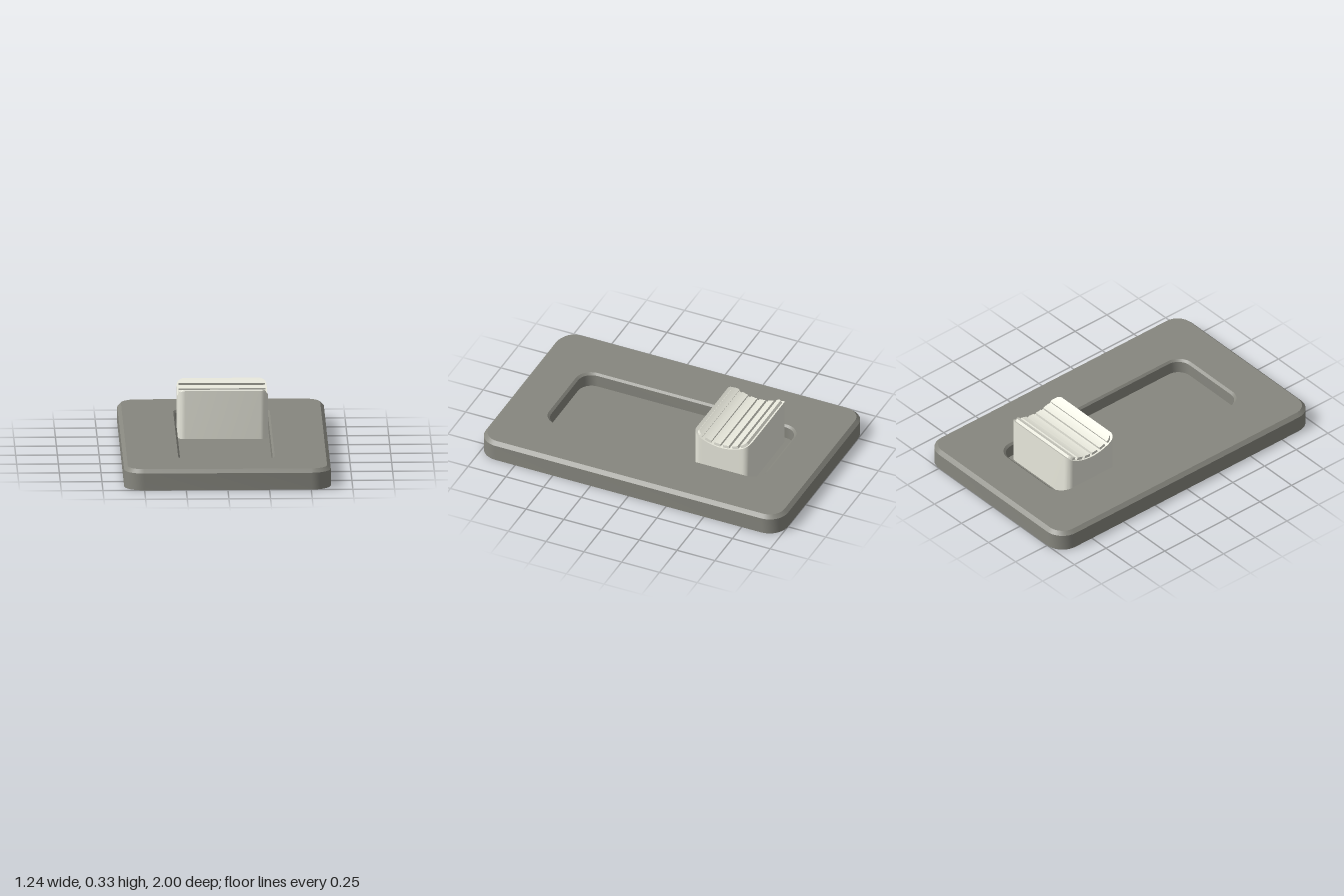
import * as THREE from 'three';
import { toCreasedNormals } from 'three/addons/utils/BufferGeometryUtils.js';

// Skin a list of rings (arrays of Vector3, equal length); both ends are closed with fans.
function loft(rings) {
  const collapse = (ring) => {
    const c = new THREE.Vector3();
    ring.forEach((p) => c.add(p));
    c.divideScalar(ring.length);
    return ring.map(() => c);
  };
  const all = [collapse(rings[0]), ...rings, collapse(rings[rings.length - 1])];
  const pos = [];
  const tri = (a, b, c) => {
    if (a.equals(b) || b.equals(c) || a.equals(c)) return;
    for (const p of [a, b, c]) pos.push(p.x, p.y, p.z);
  };
  for (let k = 0; k + 1 < all.length; k++) {
    const lo = all[k], hi = all[k + 1], n = lo.length;
    for (let i = 0; i < n; i++) {
      const j = (i + 1) % n;
      tri(lo[i], hi[i], hi[j]);
      tri(lo[i], hi[j], lo[j]);
    }
  }
  const g = new THREE.BufferGeometry();
  g.setAttribute('position', new THREE.Float32BufferAttribute(pos, 3));
  return toCreasedNormals(g, 0.5);
}

// Horizontal rounded rectangle at height y
function roundedRing(hx, hz, r, y, steps = 10) {
  const pts = [];
  [[1, 1], [-1, 1], [-1, -1], [1, -1]].forEach(([sx, sz], q) => {
    for (let i = 0; i <= steps; i++) {
      const a = (q + i / steps) * Math.PI / 2;
      pts.push(new THREE.Vector3(sx * (hx - r) + r * Math.cos(a), y, sz * (hz - r) + r * Math.sin(a)));
    }
  });
  return pts;
}

// Half width of a rounded rectangle at distance u from its middle
function halfWidth(u, hx, hz, r) {
  const d = Math.max(0, Math.abs(u) - (hz - r));
  return hx - r + Math.sqrt(Math.max(0, r * r - d * d));
}

// Four-cornered cross-section, mirrored in x
const section = (w, loY, loZ, hiY, hiZ) => [
  new THREE.Vector3(w, loY, loZ), new THREE.Vector3(-w, loY, loZ),
  new THREE.Vector3(-w, hiY, hiZ), new THREE.Vector3(w, hiY, hiZ),
];

export function createModel() {
  const model = new THREE.Group();
  const plateMat = new THREE.MeshStandardMaterial({ color: 0x87877f });
  const knobMat = new THREE.MeshStandardMaterial({ color: 0xe8e8dc });
  const add = (parent, name, geometry, material) => {
    const m = new THREE.Mesh(geometry, material);
    m.name = name;
    parent.add(m);
  };

  // Base plate: chamfered outside edge, chamfered slot with a floor
  const floorY = 0.035;
  add(model, 'basePlate', loft([
    roundedRing(0.62, 1.0, 0.12, 0),
    roundedRing(0.62, 1.0, 0.12, 0.103),
    roundedRing(0.598, 0.978, 0.098, 0.125),
    roundedRing(0.29, 0.725, 0.1, 0.125),
    roundedRing(0.278, 0.71, 0.088, 0.112),
    roundedRing(0.278, 0.71, 0.088, floorY),
  ]), plateMat);

  // Sliding knob with a hollowed top
  const knob = new THREE.Group();
  knob.name = 'sliderKnob';
  model.add(knob);
  const zc = -0.45, hx = 0.27, hz = 0.185, r = 0.045;
  const R = 0.296, arcY = 0.561;

  const us = [];
  for (let i = 0; i <= 8; i++) us.push(-(hz - r) - r * Math.cos(i / 8 * Math.PI / 2));
  for (let i = 1; i < 16; i++) us.push((hz - r) * (i / 8 - 1));
  for (let i = 8; i >= 0; i--) us.push(hz - r + r * Math.cos(i / 8 * Math.PI / 2));
  add(knob, 'knobBody', loft(us.map((u) =>
    section(halfWidth(u, hx, hz, r), floorY, zc + u, arcY - Math.sqrt(R * R - u * u), zc + u))), knobMat);

  // Grip ribs following the hollow; the end ribs take the rounded corners
  const ribHalf = 0.072, inner = R - 0.018, outer = R + 0.008;
  for (const t0 of [-0.53, -0.315, -0.1, 0.1, 0.315, 0.53]) {
    const rings = [];
    for (let i = 0; i <= 10; i++) {
      const t = t0 + ribHalf * (i / 5 - 1);
      const w = halfWidth(R * Math.sin(t), hx - 0.01, hz - 0.015, 0.035);
      rings.push(section(w,
        arcY - outer * Math.cos(t), zc + outer * Math.sin(t),
        arcY - inner * Math.cos(t), zc + inner * Math.sin(t)));
    }
    add(knob, 'gripRib', loft(rings), knobMat);
  }
  return model;
}
